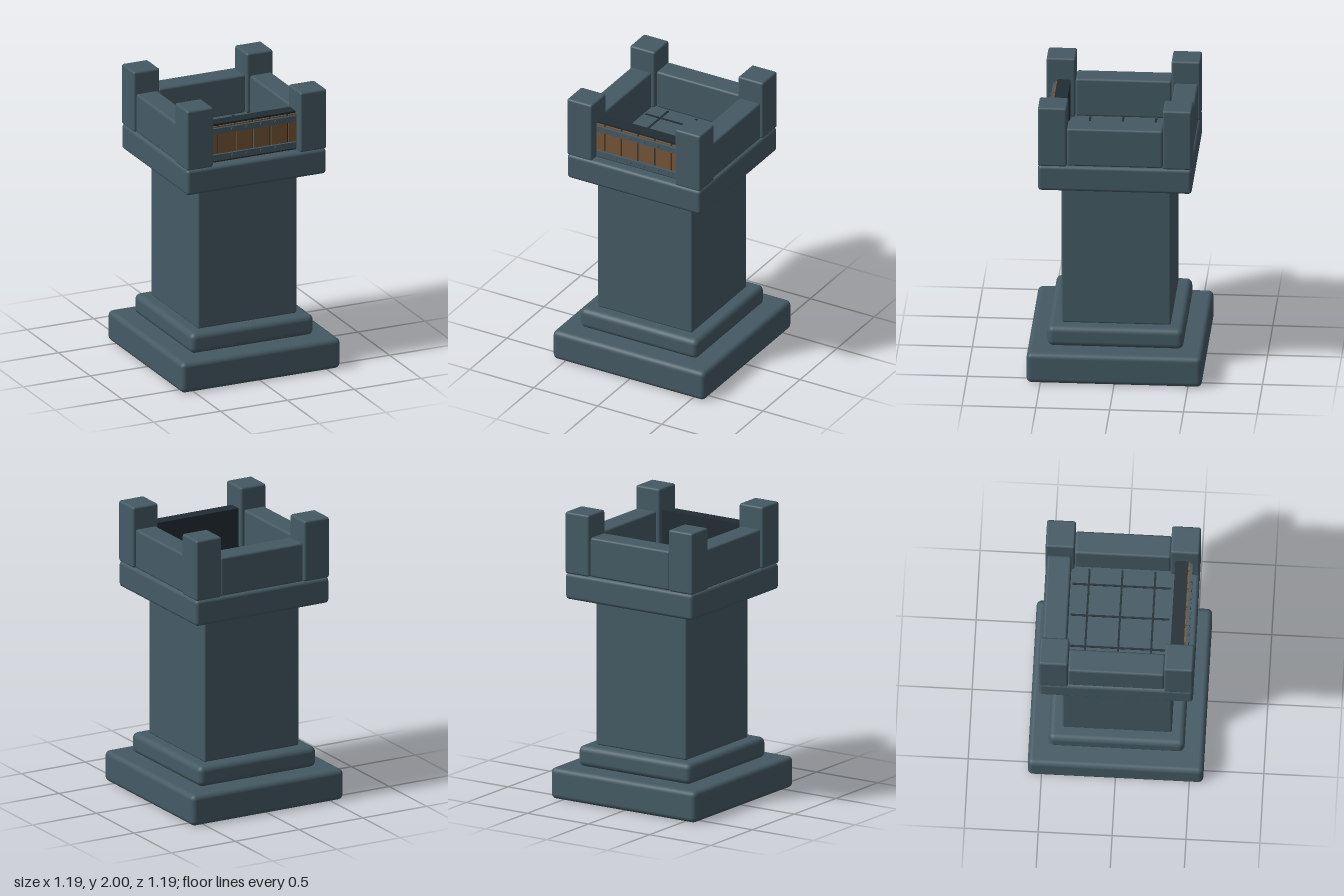
import * as THREE from 'three';
import { RoundedBoxGeometry } from 'three/addons/geometries/RoundedBoxGeometry.js';

export function createModel() {
  const model = new THREE.Group();
  model.name = 'watchtower';

  const material = (name, color) => {
    const m = new THREE.MeshStandardMaterial({ color });
    m.name = name;
    return m;
  };
  const stone = material('slate stone', 0x455a64);
  const dark = material('dark iron', 0x212d34);
  const wood = material('wood', 0x755537);

  const add = (name, geometry, mat, x, y, z, parent = model) => {
    const mesh = new THREE.Mesh(geometry, mat);
    mesh.name = name;
    mesh.position.set(x, y, z);
    parent.add(mesh);
    return mesh;
  };

  // Rounded stone block standing on y0
  const block = (name, w, y0, y1, d, r, x = 0, z = 0) =>
    add(name, new RoundedBoxGeometry(w, y1 - y0, d, 3, r), stone, x, (y0 + y1) / 2, z);

  // Sharp-edged box given by its limits
  const box = (name, mat, x0, x1, y0, y1, z0, z1, parent) =>
    add(name, new THREE.BoxGeometry(x1 - x0, y1 - y0, z1 - z0), mat,
      (x0 + x1) / 2, (y0 + y1) / 2, (z0 + z1) / 2, parent);

  // Stepped base, shaft and platform
  block('base', 1.188, 0, 0.217, 1.188, 0.035);
  block('plinth', 0.92, 0.217, 0.362, 0.92, 0.04);
  block('shaft', 0.74, 0.36, 1.392, 0.74, 0.013);
  block('platform', 1.042, 1.39, 1.572, 1.042, 0.024);

  // Corner posts
  for (const sx of [-1, 1]) {
    for (const sz of [-1, 1]) {
      block('cornerPost', 0.196, 1.57, 2, 0.196, 0.015, sx * 0.423, sz * 0.423);
    }
  }

  // Parapet walls on the back and both sides
  block('backWall', 0.65, 1.57, 1.845, 0.162, 0.016, 0, -0.427);
  for (const sx of [-1, 1]) {
    block('sideWall', 0.162, 1.57, 1.845, 0.65, 0.016, sx * 0.425, 0);
  }

  // Floor joints
  for (const p of [-0.223, 0, 0.223]) {
    box('floorJoint', dark, p - 0.007, p + 0.007, 1.565, 1.576, -0.335, 0.335);
    box('floorJoint', dark, -0.335, 0.335, 1.565, 1.577, p - 0.007, p + 0.007);
  }

  // Front gate: backing panel, planks, bands and rivets
  const gate = new THREE.Group();
  gate.name = 'frontGate';
  model.add(gate);
  box('gatePanel', dark, -0.326, 0.326, 1.572, 1.848, 0.357, 0.446, gate);

  const joints = [-0.323, -0.26, -0.13, 0, 0.13, 0.26, 0.323];
  for (let i = 0; i < joints.length - 1; i++) {
    const x0 = joints[i] + (i === 0 ? 0 : 0.006);
    const x1 = joints[i + 1] - (i === 5 ? 0 : 0.006);
    box('plank', wood, x0, x1, 1.586, 1.834, 0.445, 0.459, gate);
  }

  const rivet = new THREE.CylinderGeometry(0.012, 0.012, 0.012, 10).rotateX(Math.PI / 2);
  for (const y of [1.615, 1.804]) {
    box('band', stone, -0.315, 0.315, y - 0.021, y + 0.021, 0.457, 0.475, gate);
    for (const x of [-0.162, -0.054, 0.054, 0.162]) {
      add('rivet', rivet, stone, x, y, 0.477, gate);
    }
  }

  return model;
}
